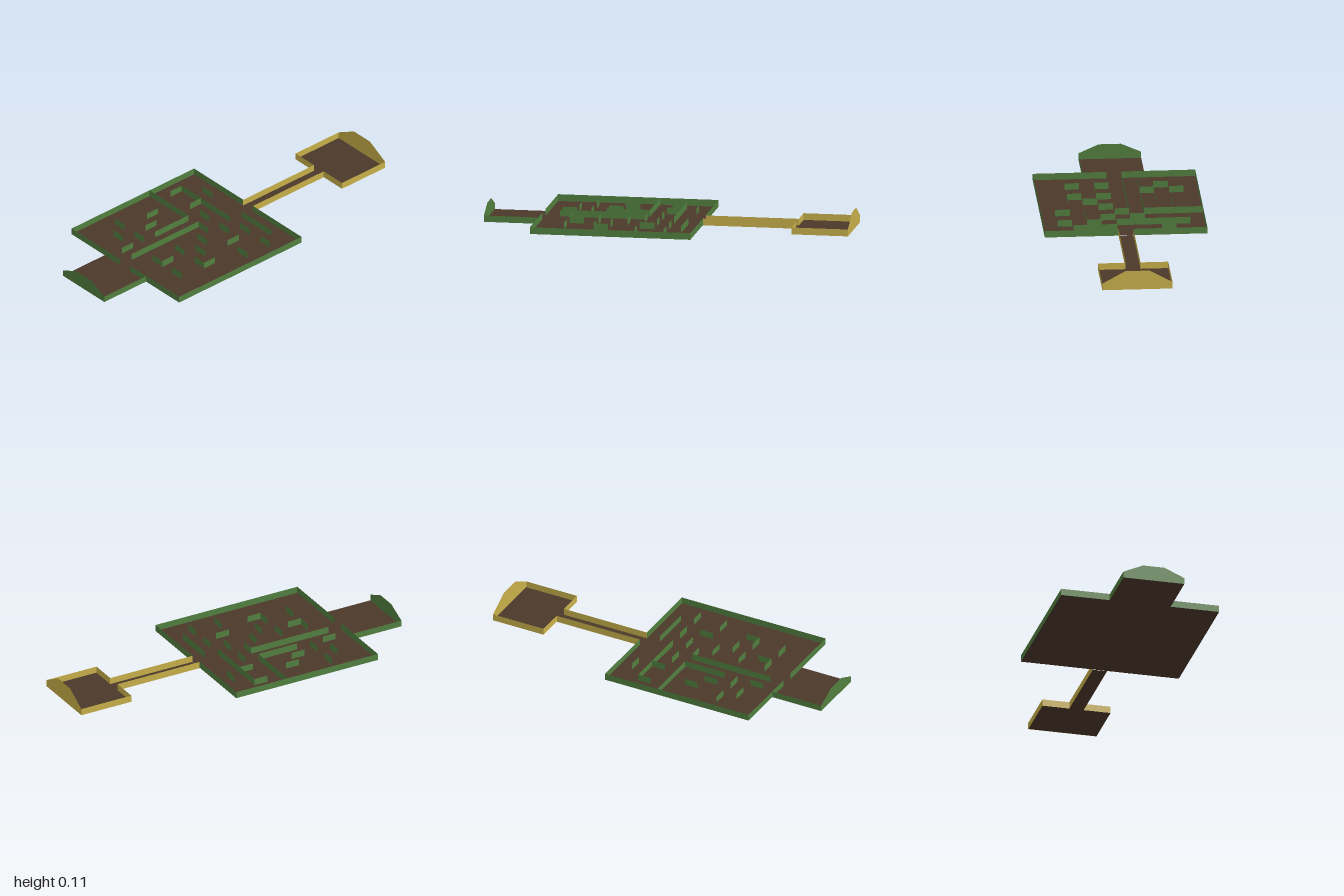
import * as THREE from 'three';

const material = (color, side = THREE.DoubleSide) =>
  new THREE.MeshStandardMaterial({ color, side, flatShading: true });
const hedge = material(0x527f3f);
const hedgeOuter = material(0x527f3f, THREE.FrontSide);
const gold = material(0xc8b04a);
const earth = material(0x4b382a);

const CELLS = 11, CELL = 0.08, X0 = -0.44, Z0 = -0.18;

// Small seeded generator for the short hedges
function seeded(seed) {
  return () => {
    seed = (seed * 16807) % 2147483647;
    return seed / 2147483647;
  };
}

export function createModel() {
  const model = new THREE.Group();

  const add = (name, geometry, mat) => {
    const mesh = new THREE.Mesh(geometry, mat);
    mesh.name = name;
    model.add(mesh);
    return mesh;
  };

  // Flat ground rectangle, symmetrical about x = 0
  const floor = (name, half, z0, z1, y) => {
    const mesh = add(name, new THREE.PlaneGeometry(2 * half, z1 - z0).rotateX(-Math.PI / 2), earth);
    mesh.position.set(0, y, (z0 + z1) / 2);
  };

  // Paper-thin upright wall from one ground point to another
  const wall = (name, x0, z0, x1, z1, y0, y1, mat) => {
    const length = Math.hypot(x1 - x0, z1 - z0);
    const mesh = add(name, new THREE.PlaneGeometry(length, y1 - y0), mat);
    mesh.position.set((x0 + x1) / 2, (y0 + y1) / 2, (z0 + z1) / 2);
    mesh.rotation.y = -Math.atan2(z1 - z0, x1 - x0);
  };

  // End wall with sloping shoulders and a flat top
  const gable = (name, half, topHalf, top, y0, z, mat) => {
    const shape = new THREE.Shape();
    shape.moveTo(-half, y0).lineTo(half, y0).lineTo(half, 0.038);
    shape.lineTo(topHalf, top).lineTo(-topHalf, top).lineTo(-half, 0.038);
    add(name, new THREE.ShapeGeometry(shape), mat).position.z = z;
  };

  // Floors
  floor('mazeFloor', 0.44, -0.18, 0.7, 0.003);
  floor('frontRoomFloor', 0.17, 0.7, 1, 0.003);
  floor('corridorFloor', 0.04, -0.69, -0.18, 0.001);
  floor('backRoomFloor', 0.19, -1, -0.69, 0.001);

  // Hedge along grid lines, starting at a post and running a number of cells
  const hedgeRow = (name, column, row, length, across) => {
    const x = X0 + column * CELL, z = Z0 + row * CELL, run = length * CELL;
    wall(name, x, z, across ? x + run : x, across ? z : z + run, 0.003, 0.04, hedge);
  };

  // Maze border with a one-cell doorway front and back
  for (const edge of [0, CELLS]) {
    hedgeRow('mazeSide', edge, 0, CELLS, false);
    hedgeRow('mazeEndRight', 0, edge, 5, true);
    hedgeRow('mazeEndLeft', 6, edge, 5, true);
  }

  // Long hedges of the maze
  hedgeRow('longHedge', 1, 2, 4, true);
  hedgeRow('longHedge', 0, 4, 4, true);
  hedgeRow('longHedge', 6, 1, 3, true);
  hedgeRow('longHedge', 5, 4, 6, false);
  hedgeRow('longHedge', 4, 4, 3, false);

  // Short hedges on alternate posts
  const random = seeded(41);
  for (let row = 1; row < CELLS - 1; row++) {
    for (let column = 1 + (row % 2); column < CELLS - 1; column += 2) {
      const across = random() < 0.6;
      if (random() < 0.72) hedgeRow('shortHedge', column, row, 1, across);
    }
  }

  // Front room: side walls face outward only
  wall('frontRoomLeftWall', 0.17, 1, 0.17, 0.7, 0.003, 0.038, hedgeOuter);
  wall('frontRoomRightWall', -0.17, 0.7, -0.17, 1, 0.003, 0.038, hedgeOuter);
  gable('frontGable', 0.17, 0.06, 0.087, 0.003, 1, hedge);

  // Corridor and back room, mirrored
  for (const s of [-1, 1]) {
    wall('corridorWall', s * 0.04, -0.18, s * 0.04, -0.69, 0, 0.038, gold);
    wall('backRoomFrontWall', s * 0.04, -0.69, s * 0.19, -0.69, 0, 0.038, gold);
    wall('backRoomSideWall', s * 0.19, -0.69, s * 0.19, -1, 0, 0.038, gold);
  }
  gable('backGable', 0.19, 0.065, 0.107, 0, -1, gold);

  return model;
}
